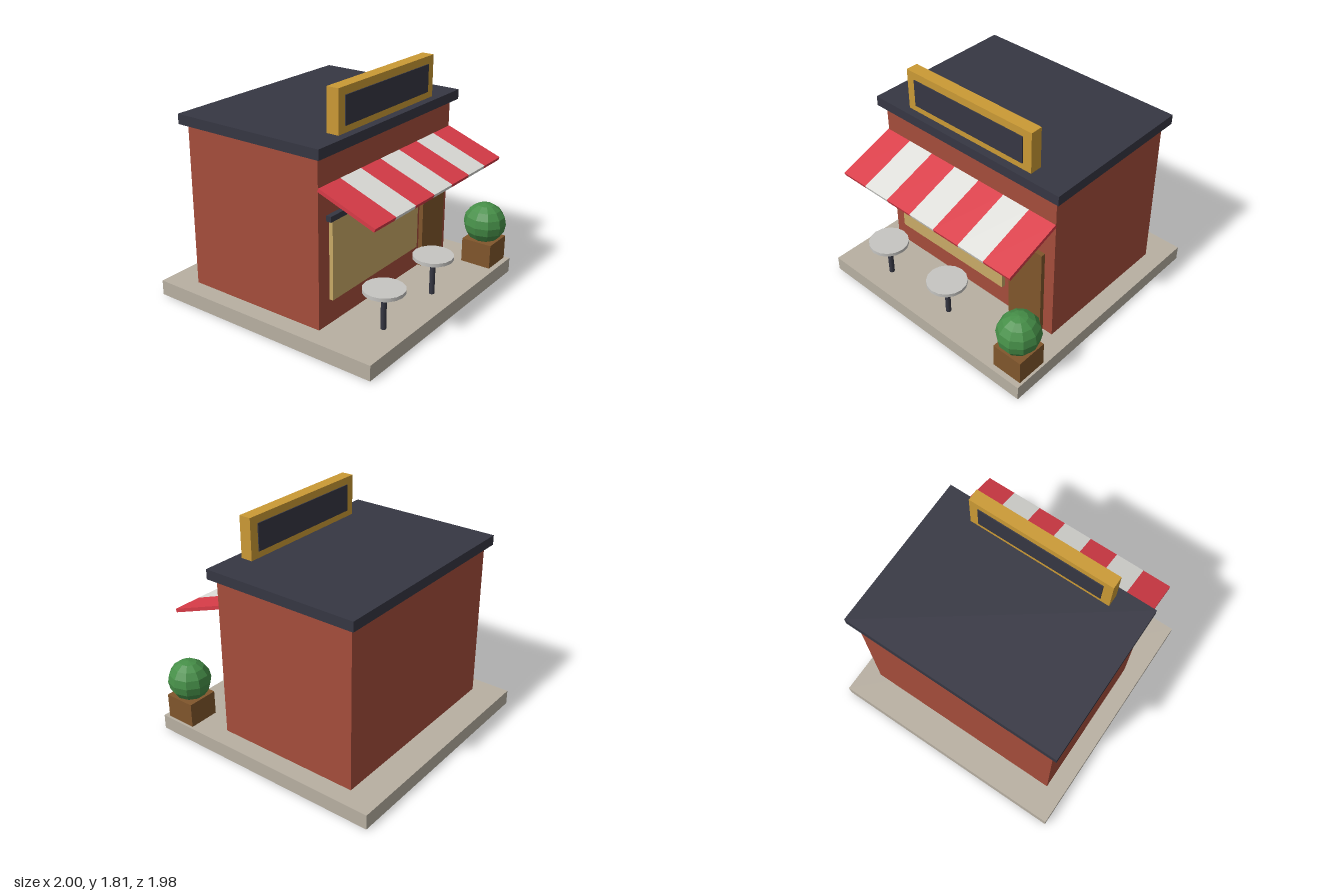
import * as THREE from 'three';

const mat = (name, color, extra = {}) => {
  const m = new THREE.MeshStandardMaterial({ color, ...extra });
  m.name = name;
  return m;
};

export function createModel() {
  const stone = mat('stone', 0xb8b0a2);
  const brick = mat('brick', 0xa54d3b);
  const slate = mat('slate', 0x363743);
  const gold = mat('gold', 0xcb9a35);
  const red = mat('awningRed', 0xd93c48);
  const white = mat('awningWhite', 0xdededa);
  const tan = mat('shutterTan', 0xc9aa67);
  const wood = mat('wood', 0x80562c);
  const metal = mat('stoolMetal', 0xc6c5c2);
  const leaf = mat('leafGreen', 0x468f48, { flatShading: true });

  const shop = new THREE.Group();
  shop.name = 'shop';

  const add = (name, geometry, material, parent = shop) => {
    const mesh = new THREE.Mesh(geometry, material);
    mesh.name = name;
    parent.add(mesh);
    return mesh;
  };
  // Box given by its min and max on each axis
  const box = (name, material, [x0, x1], [y0, y1], [z0, z1], parent) => {
    const mesh = add(name, new THREE.BoxGeometry(x1 - x0, y1 - y0, z1 - z0), material, parent);
    mesh.position.set((x0 + x1) / 2, (y0 + y1) / 2, (z0 + z1) / 2);
    return mesh;
  };

  // Building shell
  box('pavement', stone, [-1, 0.977], [0, 0.12], [-0.99, 0.988]);
  box('walls', brick, [-0.853, 0.827], [0.12, 1.41], [-0.745, 0.447]);
  box('roof', slate, [-0.902, 0.877], [1.41, 1.488], [-0.793, 0.494]);

  // Roof sign with a dark panel showing on both sides
  box('signFrame', gold, [-0.606, 0.583], [1.488, 1.815], [0.332, 0.43]);
  box('signPanel', slate, [-0.532, 0.508], [1.54, 1.755], [0.324, 0.438]);

  // Shop front
  box('servingShutter', tan, [-0.734, 0.355], [0.315, 0.925], [0.43, 0.478]);
  box('shutterLintel', slate, [-0.765, 0.385], [0.925, 0.968], [0.43, 0.488]);
  box('door', wood, [0.426, 0.739], [0.12, 0.876], [0.43, 0.482]);

  // Striped sloping awning
  const awning = new THREE.Group();
  awning.name = 'awning';
  awning.position.set(-0.013, 1.097, 0.676);
  awning.rotation.x = 0.35;
  shop.add(awning);
  const stripe = 0.24;
  for (let i = 0; i < 7; i++) {
    const slat = add('awningStripe', new THREE.BoxGeometry(stripe, 0.028, 0.49), i % 2 ? white : red, awning);
    slat.position.x = (i - 3) * stripe;
  }

  // Two stools
  for (const x of [-0.56, 0.086]) {
    const stool = new THREE.Group();
    stool.name = 'stool';
    stool.position.set(x, 0.12, 0.79);
    shop.add(stool);
    add('stoolPost', new THREE.CylinderGeometry(0.021, 0.021, 0.3, 10), slate, stool).position.y = 0.15;
    add('stoolSeat', new THREE.CylinderGeometry(0.156, 0.156, 0.028, 16), metal, stool).position.y = 0.309;
  }

  // Potted bush
  box('planter', wood, [0.704, 0.957], [0.12, 0.318], [0.692, 0.945]);
  const bush = add('bush', new THREE.SphereGeometry(0.165, 10, 8), leaf);
  bush.position.set(0.832, 0.448, 0.817);
  bush.scale.z = 1.04;

  return shop;
}
